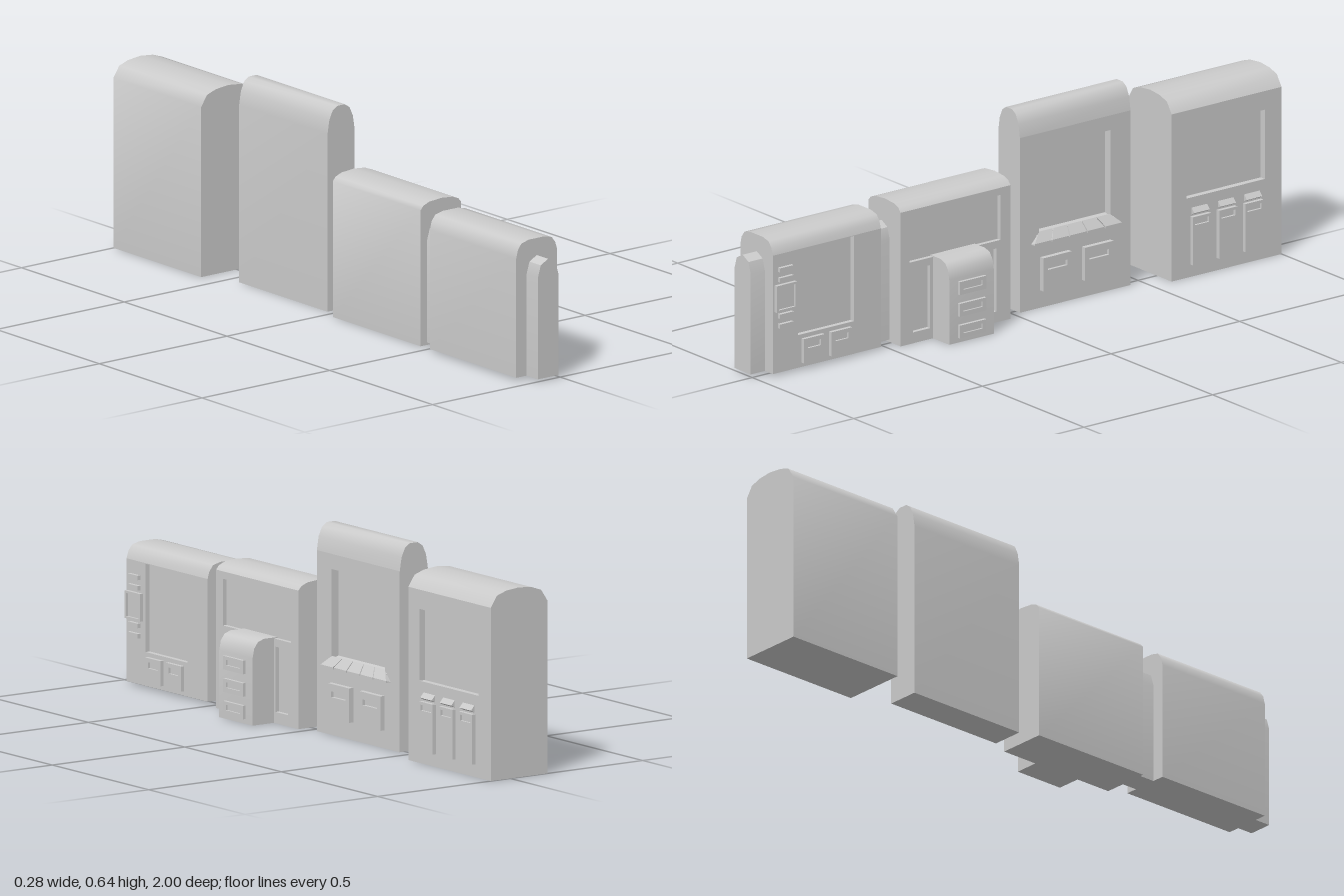
import * as THREE from 'three';
import { toCreasedNormals } from 'three/addons/utils/BufferGeometryUtils.js';

const grey = new THREE.MeshStandardMaterial({ color: 0xcccccc });

function add(parent, name, geometry) {
  const mesh = new THREE.Mesh(geometry, grey);
  mesh.name = name;
  parent.add(mesh);
  return mesh;
}

// Side profile [x, y] swept along z from z0 to z1
function sweep(points, z0, z1) {
  const shape = new THREE.Shape(points.map(([x, y]) => new THREE.Vector2(x, y)));
  const geo = new THREE.ExtrudeGeometry(shape, { depth: z1 - z0, bevelEnabled: false });
  return toCreasedNormals(geo.translate(0, 0, z0), 0.75);
}

// Rectangle [z0, z1, y0, y1] as a loop in the (-z, y) plane
function rect([z0, z1, y0, y1]) {
  return [[-z1, y0], [-z0, y0], [-z0, y1], [-z1, y1]].map(([u, v]) => new THREE.Vector2(u, v));
}

// Slab facing +x, with rectangular openings
function slab(area, x0, x1, openings = []) {
  const shape = new THREE.Shape(rect(area));
  for (const o of openings) shape.holes.push(new THREE.Path(rect(o).reverse()));
  const geo = new THREE.ExtrudeGeometry(shape, { depth: x1 - x0, bevelEnabled: false });
  return geo.rotateY(Math.PI / 2).translate(x0, 0, 0);
}

// Raised plate with a sunken slot
function slotPlate(parent, name, area, x0, x1, slot) {
  const g = new THREE.Group();
  g.name = name;
  const mid = x0 + (x1 - x0) * 0.4;
  add(g, 'plateBase', slab(area, x0, mid));
  add(g, 'plateFace', slab(area, mid, x1, [slot]));
  parent.add(g);
}

// Arched cabinet: a core set back behind a front panel with recesses.
// arch runs from the front shoulder over the top to the back shoulder.
function cabinet(parent, name, { arch, y0 = 0, z0, z1, depth, recesses }) {
  const g = new THREE.Group();
  g.name = name;
  const [front, shoulder] = arch[0];
  const back = arch[arch.length - 1][0];
  add(g, 'body', sweep([[back, y0], [front - depth, y0], [front - depth, shoulder], ...arch], z0, z1));
  add(g, 'frontPanel', slab([z0, z1, y0, shoulder], front - depth, front, recesses));
  parent.add(g);
  return g;
}

export function createModel() {
  const model = new THREE.Group();
  model.name = 'machineRow';

  // Wide machine at the back with three dispensers
  const wide = cabinet(model, 'wideMachine', {
    arch: [[0.073, 0.538], [0.05, 0.573], [0.015, 0.585], [-0.033, 0.59], [-0.082, 0.585], [-0.117, 0.573], [-0.14, 0.538]],
    z0: -1, z1: -0.573, depth: 0.02,
    recesses: [[-0.935, -0.63, 0.255, 0.478]],
  });
  for (const z of [-0.681, -0.783, -0.885]) {
    slotPlate(wide, 'dispenser', [z - 0.035, z + 0.035, 0.04, 0.195], 0.073, 0.086,
      [z - 0.027, z + 0.027, 0.168, 0.186]);
    add(wide, 'dispenserHood', sweep([[0.073, 0.2], [0.086, 0.207], [0.073, 0.222]], z - 0.03, z + 0.03));
  }

  // Tall slim machine with a key ledge
  const tall = cabinet(model, 'tallMachine', {
    arch: [[0.02, 0.562], [0.013, 0.605], [0, 0.633], [-0.018, 0.645], [-0.048, 0.645], [-0.066, 0.633], [-0.079, 0.605], [-0.086, 0.562]],
    z0: -0.455, z1: -0.025, depth: 0.028,
    recesses: [[-0.378, -0.1, 0.24, 0.515]],
  });
  const ledgeStart = -0.41, keyWidth = 0.343 / 5;
  add(tall, 'ledge', sweep([[-0.008, 0.21], [0.033, 0.21], [0.033, 0.215], [0.02, 0.236], [-0.008, 0.243]], -0.39, -0.087));
  for (let i = 0; i < 5; i++) {
    const z = ledgeStart + i * keyWidth;
    const key = add(tall, 'key', sweep([[0.018, 0.21], [0.038, 0.21], [0.038, 0.216], [0.018, 0.245]], z + 0.002, z + keyWidth - 0.002));
    // Keys fan inwards toward the top
    const p = key.geometry.attributes.position;
    for (let k = 0; k < p.count; k++) {
      const t = Math.max(0, (p.getY(k) - 0.216) / 0.029);
      p.setZ(k, -0.2385 + (p.getZ(k) + 0.2385) * (1 - 0.19 * t));
    }
    key.geometry = toCreasedNormals(key.geometry, 0.3);
  }
  for (const z of [-0.159, -0.321]) {
    slotPlate(tall, 'tray', [z - 0.055, z + 0.055, 0.056, 0.163], 0.02, 0.036,
      [z - 0.038, z + 0.038, 0.122, 0.14]);
  }

  // Machine with a projecting drawer console
  const consoleMachine = cabinet(model, 'consoleMachine', {
    arch: [[0.047, 0.43], [0.036, 0.443], [0.013, 0.452], [-0.03, 0.456], [-0.078, 0.452], [-0.101, 0.443], [-0.112, 0.43]],
    z0: 0.033, z1: 0.46, depth: 0.014,
    recesses: [[0.072, 0.425, 0.262, 0.407], [0.345, 0.411, 0.035, 0.238], [0.087, 0.153, 0.035, 0.238]],
  });
  add(consoleMachine, 'console', sweep(
    [[0.033, 0], [0.127, 0], [0.127, 0.208], [0.121, 0.238], [0.107, 0.257], [0.085, 0.265], [0.033, 0.265]], 0.161, 0.334));
  for (const y of [0.015, 0.085, 0.155]) {
    slotPlate(consoleMachine, 'drawer', [0.198, 0.3, y, y + 0.042], 0.127, 0.137,
      [0.212, 0.286, y + 0.015, y + 0.032]);
  }

  // Front machine with side buttons
  const frontMachine = cabinet(model, 'frontMachine', {
    arch: [[0.032, 0.389], [0.025, 0.412], [0.011, 0.43], [-0.018, 0.437], [-0.078, 0.437], [-0.107, 0.43], [-0.121, 0.412], [-0.128, 0.385]],
    y0: 0.008, z0: 0.525, z1: 0.945, depth: 0.016,
    recesses: [[0.63, 0.847, 0.113, 0.387]],
  });
  for (const z of [0.686, 0.793]) {
    slotPlate(frontMachine, 'tray', [z - 0.04, z + 0.04, 0.022, 0.1], 0.032, 0.044,
      [z - 0.025, z + 0.025, 0.068, 0.087]);
  }
  slotPlate(frontMachine, 'keypad', [0.86, 0.938, 0.206, 0.292], 0.032, 0.044, [0.867, 0.931, 0.213, 0.285]);
  for (const y of [0.152, 0.184, 0.301, 0.333]) {
    add(frontMachine, 'sideButton', slab([0.872, 0.925, y, y + 0.014], 0.032, 0.043));
  }

  // Slim arched spine running through the front machine
  add(model, 'spine', sweep(
    [[-0.087, 0.008], [-0.007, 0.008], [-0.007, 0.33], [-0.018, 0.367], [-0.047, 0.383], [-0.076, 0.367], [-0.087, 0.33]], 0.46, 1));

  return model;
}
